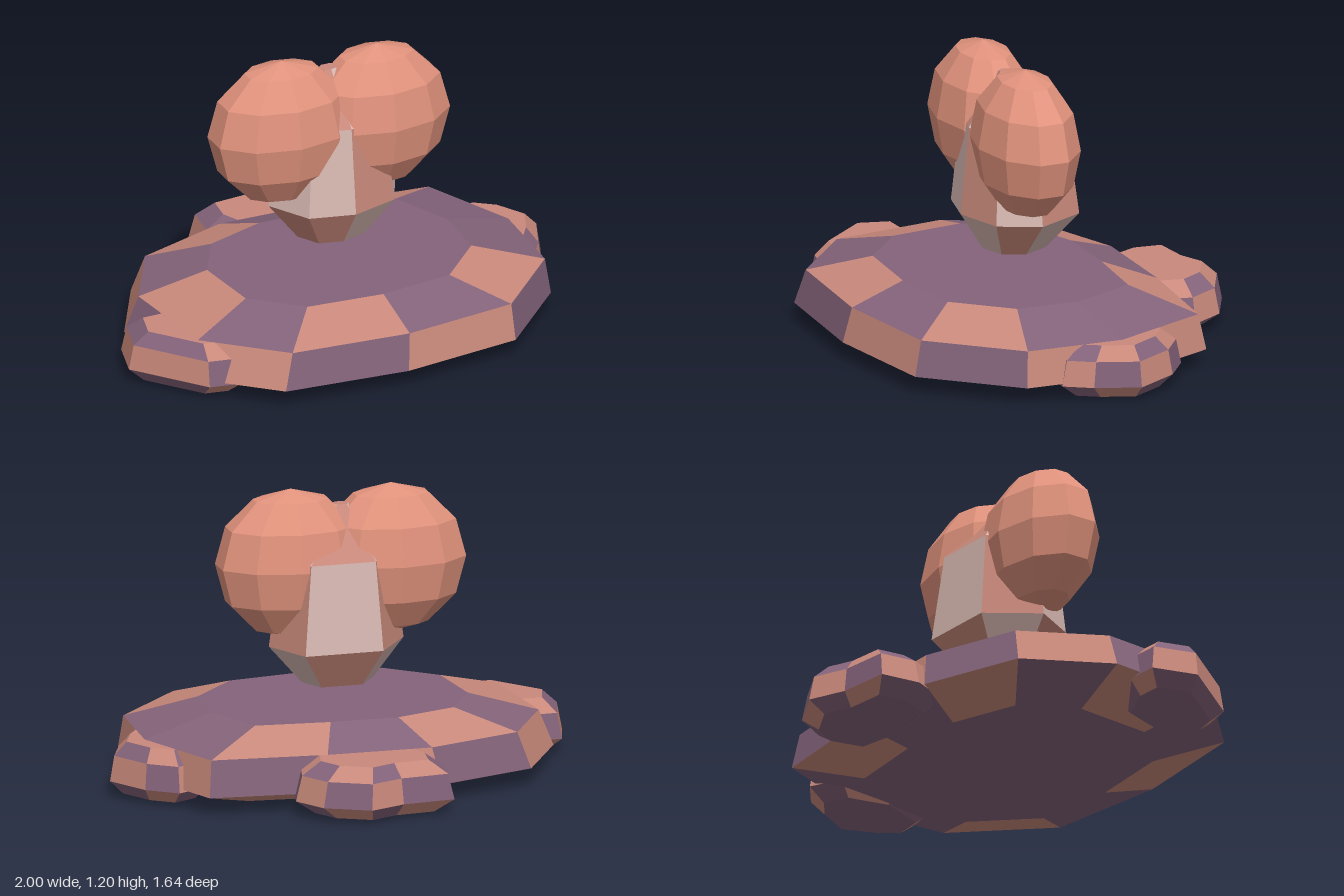
import * as THREE from 'three';

function material(name, color) {
  const m = new THREE.MeshStandardMaterial({ color });
  m.name = name;
  return m;
}

// Faceted stone: one outline [x, z] repeated at several levels [y, scale, shiftX],
// with facets alternating between two materials; capTop and capBottom pick 0 or 1.
function facetedStone(name, outline, [cx, cz], levels, materials, capTop = 0, capBottom = 0) {
  const faces = [[], []];
  const n = outline.length;
  const ring = ([y, s, dx = 0]) =>
    outline.map(([x, z]) => [cx + (x - cx) * s + dx, y, cz + (z - cz) * s]);
  const rings = levels.map(ring);
  const top = rings[rings.length - 1], bottom = rings[0];
  const topMid = [cx, top[0][1], cz], bottomMid = [cx, bottom[0][1], cz];
  for (let i = 0; i < n; i++) {
    const j = (i + 1) % n;
    for (let l = 0; l < rings.length - 1; l++) {
      const a = rings[l][i], b = rings[l + 1][i], c = rings[l + 1][j], d = rings[l][j];
      faces[(i + l) % 2].push(...a, ...b, ...c, ...a, ...c, ...d);
    }
    faces[capTop].push(...topMid, ...top[j], ...top[i]);
    faces[capBottom].push(...bottomMid, ...bottom[i], ...bottom[j]);
  }
  const geo = new THREE.BufferGeometry();
  geo.setAttribute('position', new THREE.Float32BufferAttribute([...faces[0], ...faces[1]], 3));
  geo.addGroup(0, faces[0].length / 3, 0);
  geo.addGroup(faces[0].length / 3, faces[1].length / 3, 1);
  geo.computeVertexNormals();
  const mesh = new THREE.Mesh(geo, materials);
  mesh.name = name;
  return mesh;
}

export function createModel() {
  const group = new THREE.Group();
  const purple = material('dusty purple', 0x84637a);
  const pink = material('clay pink', 0xc9897b);
  const salmon = material('salmon', 0xe0927c);
  const pale = material('pale pink', 0xd8b8b2);

  // Wide slab
  const slab = [
    [0.85, -0.06], [0.83, 0.35], [0.53, 0.69], [0.04, 0.78], [-0.47, 0.76], [-0.77, 0.49],
    [-0.82, 0.01], [-0.64, -0.33], [-0.24, -0.49], [0.2, -0.5], [0.68, -0.47],
  ];
  group.add(facetedStone('slab', slab, [0, 0.12],
    [[0.005, 0.7], [0.08, 1.05, -0.02], [0.23, 1], [0.31, 0.65]], [purple, pink]));

  // Small stones around the slab edge
  const stoneLevels = [[0.015, 0.75], [0.07, 1], [0.175, 0.92], [0.23, 0.68]];
  group.add(facetedStone('backStone', [
    [-0.29, -0.56], [-0.27, -0.73], [-0.05, -0.76], [0.1, -0.83], [0.28, -0.74],
    [0.36, -0.6], [0.32, -0.42], [0.05, -0.36], [-0.22, -0.4],
  ], [0.03, -0.58], stoneLevels, [purple, pink], 1));
  group.add(facetedStone('leftStone', [
    [0.78, -0.35], [0.9, -0.26], [1, -0.08], [0.93, 0.1], [0.86, 0.21],
    [0.7, 0.2], [0.6, -0.05], [0.65, -0.28],
  ], [0.78, -0.07], stoneLevels, [pink, purple], 0, 1));
  group.add(facetedStone('rightStone', [
    [-1, 0.32], [-0.95, 0.13], [-0.81, 0.12], [-0.6, 0.2], [-0.52, 0.42], [-0.64, 0.63], [-0.77, 0.61],
  ], [-0.75, 0.36], stoneLevels, [purple, pink], 1));

  // Floating stem, a gem tapering to a small flat tip
  const stem = [
    [-0.17, 0.25], [-0.27, 0.07], [-0.13, -0.14], [0.2, -0.155], [0.3, 0.05], [0.22, 0.22], [0.02, 0.29],
  ];
  group.add(facetedStone('stem', stem, [0, 0.075],
    [[0.395, 0.53], [0.555, 1], [0.92, 0.83], [1.13, 0.13, -0.01]], [pink, pale]));

  // Pair of flattened globes
  for (const [name, x] of [['leftGlobe', 0.2], ['rightGlobe', -0.22]]) {
    const geo = new THREE.SphereGeometry(1, 10, 6).rotateY(Math.PI / 10)
      .scale(0.315, 0.31, 0.205).toNonIndexed();
    geo.computeVertexNormals();
    const globe = new THREE.Mesh(geo, salmon);
    globe.name = name;
    globe.position.set(x, 0.89, 0.085);
    group.add(globe);
  }
  return group;
}
